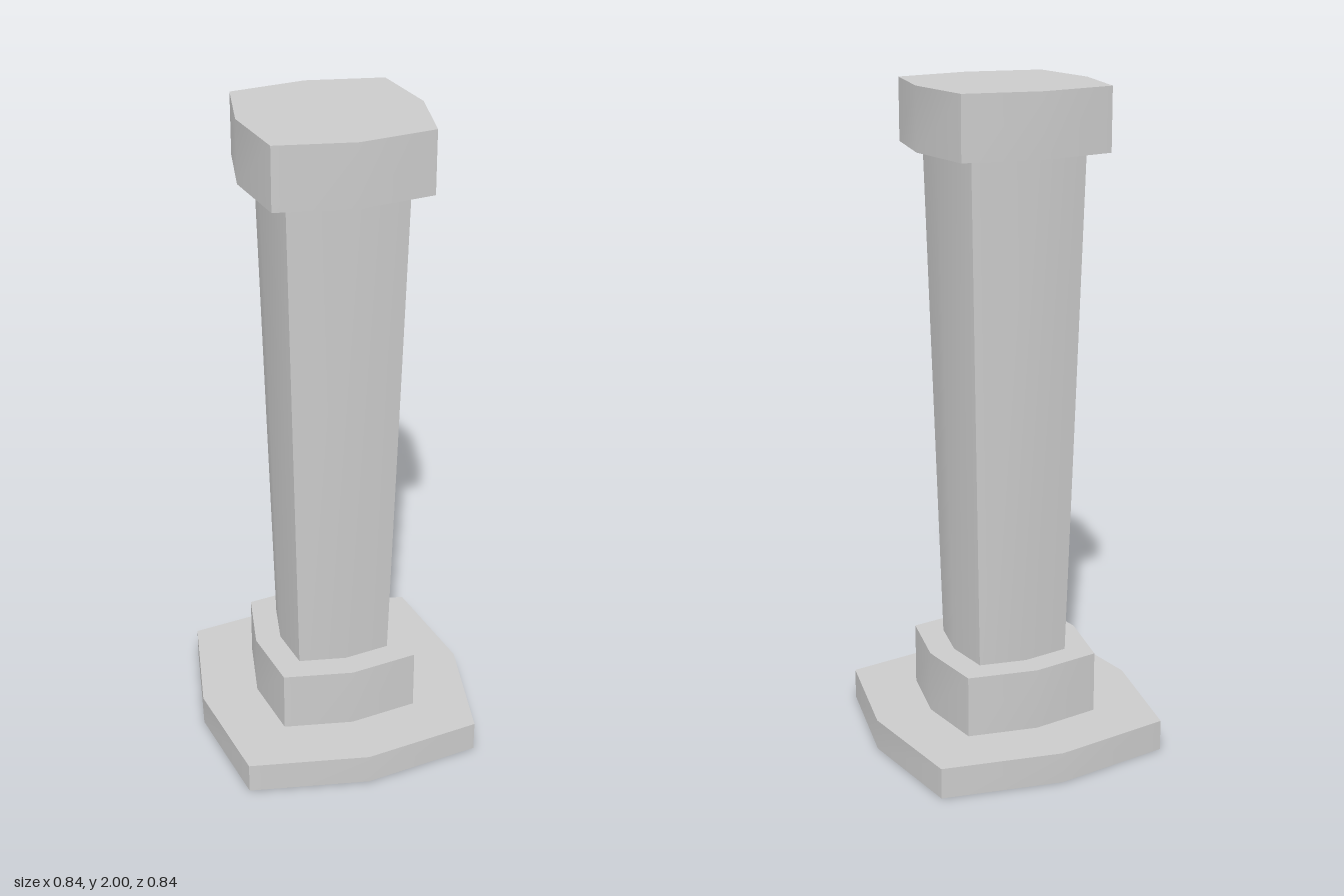
import * as THREE from 'three';

const CORNER = 0.857; // corner offset relative to the mid-side bulge

const material = new THREE.MeshStandardMaterial({ color: 0xcccccc, side: THREE.DoubleSide });

// One quarter of the wall: two facets, smooth across the middle, sharp at the corners
function addWall(positions, index, turn, y0, r0, y1, r1) {
  const start = positions.length / 3;
  const up = new THREE.Vector3(0, 1, 0);
  for (const [y, r] of [[y0, r0], [y1, r1]]) {
    for (const side of [-1, 0, 1]) {
      const z = side === 0 ? r : r * CORNER;
      const p = new THREE.Vector3(side * r * CORNER, y, z).applyAxisAngle(up, turn);
      positions.push(p.x, p.y, p.z);
    }
  }
  for (const i of [start, start + 1]) {
    index.push(i, i + 1, i + 4, i, i + 4, i + 3);
  }
}

// Flat eight-cornered lid facing up or down
function addLid(positions, index, y, r, facing) {
  const start = positions.length / 3;
  for (let i = 0; i < 8; i++) {
    const a = (i * Math.PI) / 4;
    const d = i % 2 ? r * CORNER * Math.SQRT2 : r;
    positions.push(Math.sin(a) * d, y, Math.cos(a) * d);
  }
  for (let i = 1; i < 7; i++) {
    if (facing > 0) index.push(start, start + i, start + i + 1);
    else index.push(start, start + i + 1, start + i);
  }
}

// Square block with bulging sides, optionally tapered
function block(name, y0, r0, y1, r1, closedBelow) {
  const positions = [];
  const index = [];
  for (let k = 0; k < 4; k++) addWall(positions, index, (k * Math.PI) / 2, y0, r0, y1, r1);
  addLid(positions, index, y1, r1, 1);
  if (closedBelow) addLid(positions, index, y0, r0, -1);
  const geometry = new THREE.BufferGeometry();
  geometry.setAttribute('position', new THREE.Float32BufferAttribute(positions, 3));
  geometry.setIndex(index);
  geometry.computeVertexNormals();
  const mesh = new THREE.Mesh(geometry, material);
  mesh.name = name;
  return mesh;
}

export function createModel() {
  const group = new THREE.Group();
  group.name = 'pillar';
  group.add(
    block('basePlate', 0, 0.422, 0.095, 0.422, false), // hollow underneath
    block('plinth', 0.095, 0.245, 0.285, 0.245, false),
    block('shaft', 0.285, 0.166, 1.815, 0.206, false), // widens upward
    block('capital', 1.815, 0.266, 2, 0.266, true)
  );
  return group;
}
